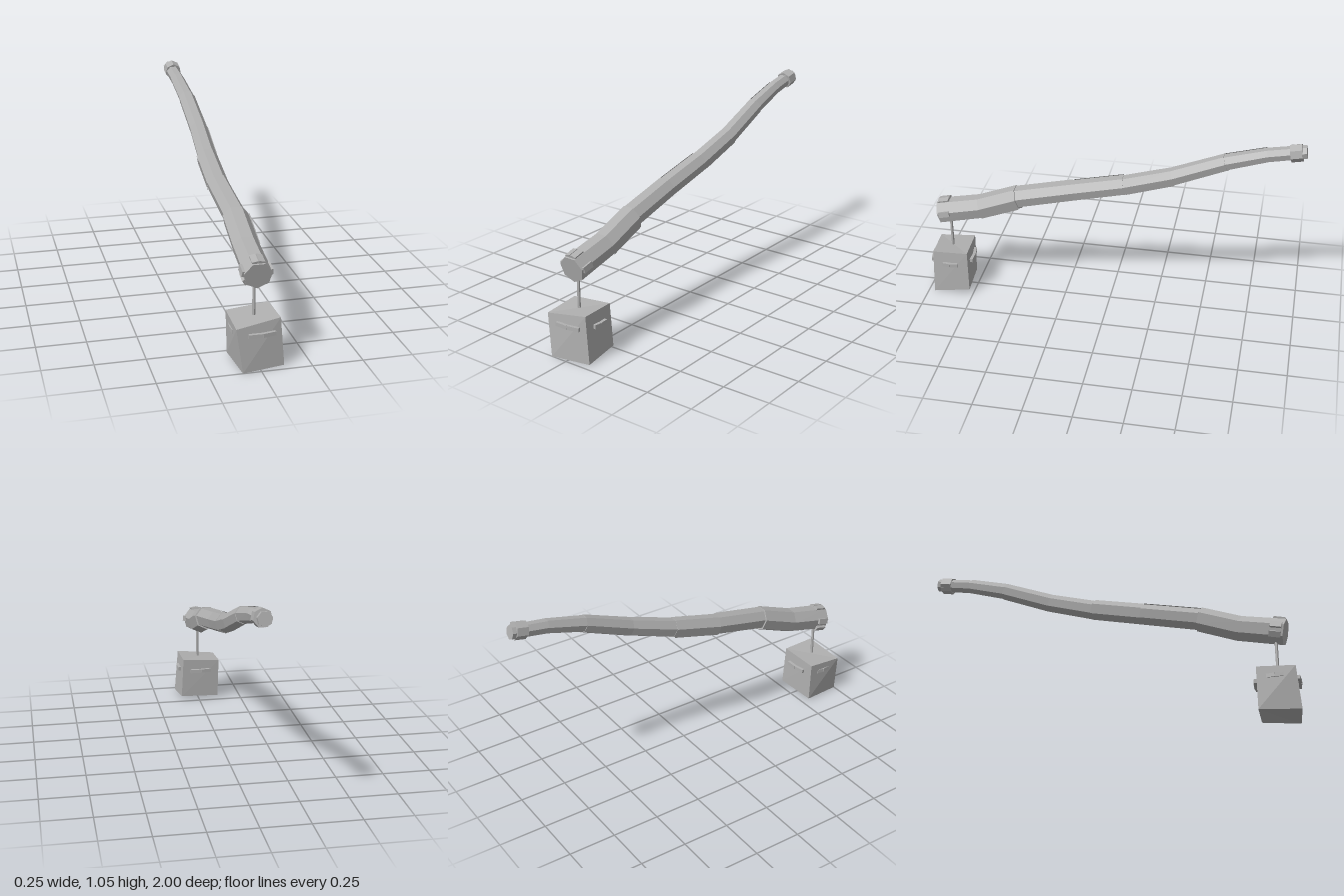
import * as THREE from 'three';

const grey = new THREE.MeshStandardMaterial({ color: 0xb0b0b0 });
grey.name = 'stone grey';
grey.flatShading = true;
grey.side = THREE.DoubleSide;

const SIDES = 7;
// Centre line of the pole from the thick front end to the tip: x, y, z
const path = [
  [-0.003, 0.455, 0.932], [0, 0.508, 0.70], [0, 0.588, 0.495], [-0.012, 0.655, 0.19],
  [-0.005, 0.722, -0.08], [0.006, 0.805, -0.33], [0, 0.912, -0.595],
  [-0.008, 0.97, -0.80], [-0.016, 1.003, -0.991],
].map((p) => new THREE.Vector3(...p));

// Point on the heptagon around station i; corner 0 points down
function corner(i, k, r) {
  const t = path[Math.min(i + 1, path.length - 1)].clone().sub(path[Math.max(i - 1, 0)]).normalize();
  const up = new THREE.Vector3(0, -t.z, t.y).normalize();
  const a = (k / SIDES) * Math.PI * 2;
  return path[i].clone().addScaledVector(up, -Math.cos(a) * r).add(new THREE.Vector3(Math.sin(a) * r, 0, 0));
}

function add(group, name, geometry) {
  const mesh = new THREE.Mesh(geometry, grey);
  mesh.name = name;
  group.add(mesh);
  return mesh;
}

function fromPoints(points) {
  const g = new THREE.BufferGeometry().setFromPoints(points);
  g.computeVertexNormals();
  return g;
}

// Capped faceted tube starting at a station, one radius per station
function section(start, radii) {
  const pts = [];
  const last = radii.length - 1;
  for (let k = 0; k < SIDES; k++) {
    for (let i = 0; i < last; i++) {
      const a = corner(start + i, k, radii[i]), b = corner(start + i, k + 1, radii[i]);
      const c = corner(start + i + 1, k + 1, radii[i + 1]), d = corner(start + i + 1, k, radii[i + 1]);
      pts.push(a, d, c, a, c, b);
    }
    pts.push(path[start], corner(start, k, radii[0]), corner(start, k + 1, radii[0]));
    pts.push(path[start + last], corner(start + last, k + 1, radii[last]), corner(start + last, k, radii[last]));
  }
  return fromPoints(pts);
}

// Loose facet plate lying just over the pole
function plate(i, k, r0, r1) {
  const a = corner(i, k, r0), b = corner(i, k + 1, r0);
  const c = corner(i + 1, k + 1, r1), d = corner(i + 1, k, r1);
  return fromPoints([a, d, c, a, c, b]);
}

// Box described by its two four-cornered ends
function hexahedron(bottom, top) {
  const v = [...bottom, ...top].map((p) => new THREE.Vector3(...p));
  const quads = [[0, 1, 5, 4], [1, 2, 6, 5], [2, 3, 7, 6], [3, 0, 4, 7], [4, 5, 6, 7], [3, 2, 1, 0]];
  return fromPoints(quads.flatMap(([a, b, c, d]) => [a, b, c, a, c, d].map((n) => v[n])));
}

export function createModel() {
  const model = new THREE.Group();
  model.name = 'pole with hanging block';

  // Pole in four stepped sections
  const pole = new THREE.Group();
  pole.name = 'pole';
  model.add(pole);
  add(pole, 'gripSection', section(0, [0.070, 0.067, 0.066]));
  add(pole, 'lowerSection', section(2, [0.058, 0.056, 0.054]));
  add(pole, 'middleSection', section(4, [0.052, 0.049, 0.046]));
  add(pole, 'tipSection', section(6, [0.043, 0.038, 0.036]));

  // Bark plates along single facets
  [[1, 1, 0.071, 0.072], [2, 3, 0.062, 0.060], [3, 5, 0.061, 0.060],
    [3, 4, 0.059, 0.057], [4, 1, 0.056, 0.053], [6, 4, 0.046, 0.041]]
    .forEach(([i, k, r0, r1]) => add(pole, 'barkPlate', plate(i, k, r0, r1)));

  // Lugs around the thick end
  const lugs = new THREE.Group();
  lugs.name = 'gripLugs';
  lugs.position.set(-0.004, 0.464, 0.893);
  lugs.rotation.x = 0.24;
  model.add(lugs);
  for (const k of [1.9, 3.25, 3.75, 5.1, 5.9]) {
    const a = (k / SIDES) * Math.PI * 2;
    const lug = add(lugs, 'lug', new THREE.BoxGeometry(0.03, 0.014, 0.06));
    lug.position.set(Math.sin(a) * 0.069, -Math.cos(a) * 0.069, 0);
    lug.rotation.z = a;
  }

  // Collar near the tip
  const collar = add(model, 'tipCollar', new THREE.CylinderGeometry(0.046, 0.046, 0.06, SIDES));
  collar.position.set(-0.010, 0.997, -0.94);
  collar.rotation.x = -Math.PI / 2 + 0.2;

  // Hanging rod
  const rod = add(model, 'hangingRod', new THREE.CylinderGeometry(0.008, 0.008, 0.19, 6));
  rod.position.set(-0.009, 0.335, 0.882);

  // Skewed block
  const block = new THREE.Group();
  block.name = 'hangingBlock';
  model.add(block);
  add(block, 'blockBody', hexahedron(
    [[-0.09, 0, 1.0], [0.12, 0.004, 0.965], [0.105, 0.025, 0.77], [-0.115, 0.012, 0.79]],
    [[-0.12, 0.22, 0.985], [0.10, 0.25, 0.962], [0.092, 0.25, 0.775], [-0.122, 0.235, 0.79]],
  ));

  // Bent bar on each side: x, z, turn, length
  [[0.005, 0.982, 0.09, 0.135], [0.107, 0.868, Math.PI / 2, 0.085],
    [-0.01, 0.771, Math.PI + 0.07, 0.12], [-0.113, 0.88, -Math.PI / 2, 0.085]]
    .forEach(([x, z, turn, length]) => {
      const bar = new THREE.Group();
      bar.name = 'blockBar';
      bar.position.set(x, 0.18, z);
      bar.rotation.y = turn;
      block.add(bar);
      for (const s of [-1, 1]) {
        const half = add(bar, 'barHalf', new THREE.BoxGeometry(length / 2, 0.02, 0.016));
        half.position.set(s * length / 4, 0, 0.003);
        half.rotation.y = s * 0.1;
      }
    });

  return model;
}
